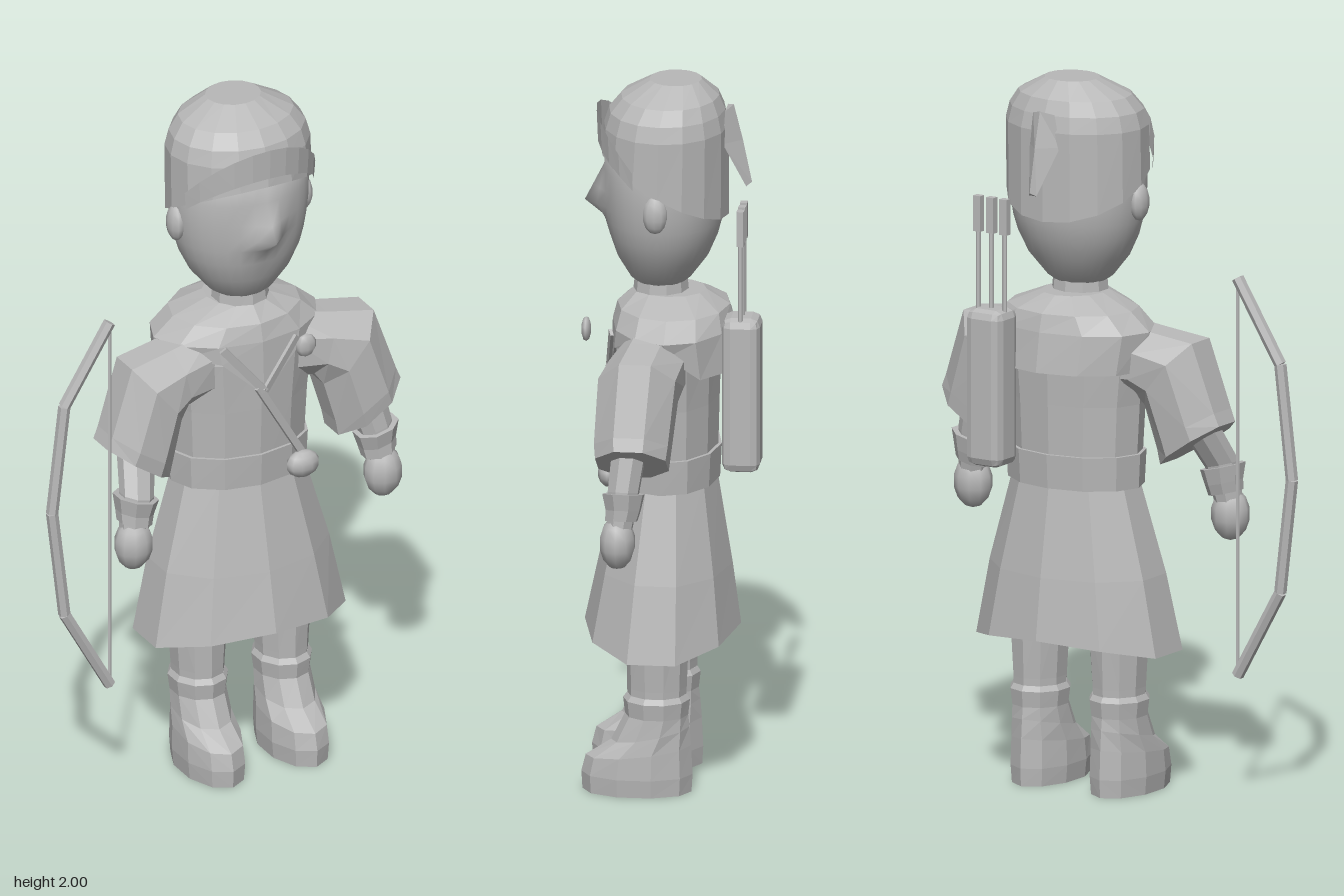
import * as THREE from 'three';
import { RoundedBoxGeometry } from 'three/addons/geometries/RoundedBoxGeometry.js';
import { ParametricGeometry } from 'three/addons/geometries/ParametricGeometry.js';

const V = (x, y, z) => new THREE.Vector3(x, y, z);
const CX = 0.09; // body centre line

// Horizontal ring; lift(dx, dz) bends it up or down
function ring(n, y, rx, rz, cx, cz, lift = () => 0) {
  return Array.from({ length: n }, (_, i) => {
    const a = (i / n) * Math.PI * 2, dx = rx * Math.sin(a), dz = rz * Math.cos(a);
    return V(cx + dx, y + lift(dx, dz), cz + dz);
  });
}

// Limb ring spanning from an upper/outer point to a lower/inner point
function limbRing(n, ax, ay, bx, by, cz, rz) {
  return Array.from({ length: n }, (_, i) => {
    const a = ((i + 0.5) / n) * Math.PI * 2, t = 0.5 - 0.5 * Math.cos(a) / Math.cos(Math.PI / n);
    return V(ax + (bx - ax) * t, ay + (by - ay) * t, cz + rz * Math.sin(a));
  });
}

// Skin a stack of rings, close both ends, and make the faces point outward
function loft(rings, smooth = false) {
  const n = rings[0].length, m = rings.length, pts = rings.flat(), idx = [];
  const mid = (r) => r.reduce((s, p) => s.add(p), V(0, 0, 0)).divideScalar(n);
  pts.push(mid(rings[0]), mid(rings[m - 1]));
  for (let j = 0; j < n; j++) {
    const k = (j + 1) % n;
    for (let i = 0; i < m - 1; i++) {
      const a = i * n + j, b = i * n + k;
      idx.push(a, b, b + n, a, b + n, a + n);
    }
    idx.push(m * n, k, j, m * n + 1, (m - 1) * n + j, (m - 1) * n + k);
  }
  const c = mid(pts.slice(0, n)).add(mid(rings[m - 1])).multiplyScalar(0.5);
  let volume = 0;
  for (let i = 0; i < idx.length; i += 3) {
    const [p, q, r] = [0, 1, 2].map((k) => pts[idx[i + k]].clone().sub(c));
    volume += p.dot(q.cross(r));
  }
  if (volume < 0) idx.reverse();
  const g = new THREE.BufferGeometry().setFromPoints(pts);
  g.setIndex(idx);
  return smooth ? (g.computeVertexNormals(), g) : flat(g);
}

function flat(g) {
  const f = g.index ? g.toNonIndexed() : g;
  f.computeVertexNormals();
  return f;
}

export function createModel() {
  const model = new THREE.Group();
  const grey = new THREE.MeshStandardMaterial({ color: 0xb8b8b8, side: THREE.DoubleSide });
  grey.name = 'plain grey';
  const add = (name, geometry, parent = model) => {
    const mesh = new THREE.Mesh(geometry, grey);
    mesh.name = name;
    parent.add(mesh);
    return mesh;
  };
  const bar = (name, a, b, geometryOf, parent) => {
    const mesh = add(name, geometryOf(a.distanceTo(b)), parent);
    mesh.position.copy(a).add(b).multiplyScalar(0.5);
    mesh.quaternion.setFromUnitVectors(V(0, 1, 0), b.clone().sub(a).normalize());
    return mesh;
  };
  const rod = (name, a, b, r, sides = 6) =>
    bar(name, a, b, (l) => flat(new THREE.CylinderGeometry(r, r, l, sides)));
  const ball = (name, x, y, z, rx, ry, rz, parent = model, w = 10, h = 7) => {
    const mesh = add(name, new THREE.SphereGeometry(1, w, h), parent);
    mesh.position.set(x, y, z);
    mesh.scale.set(rx, ry, rz);
    return mesh;
  };
  const body = (n, rows, smooth) =>
    loft(rows.map(([y, rx, rz, cz, lift]) => ring(n, y, rx, rz, CX, cz, lift)), smooth);

  // Head with a pointed nose pulled out of the face
  const face = body(32, [[1.41, 0.05, 0.05, 0.04], [1.44, 0.095, 0.085, 0.04], [1.5, 0.145, 0.125, 0.035],
    [1.56, 0.174, 0.148, 0.032], [1.605, 0.187, 0.158, 0.03], [1.645, 0.194, 0.163, 0.03],
    [1.69, 0.199, 0.166, 0.03], [1.75, 0.2, 0.167, 0.03], [1.85, 0.19, 0.16, 0.025]], true);
  const p = face.attributes.position;
  for (let i = 0; i < p.count; i++) {
    const dy = p.getY(i) - 1.645, dx = (p.getX(i) - CX) / 0.04;
    if (p.getZ(i) < 0.1) continue;
    const profile = Math.max(0, dy > 0 ? 1 - dy / 0.1 : 1 + dy / 0.05);
    p.setZ(i, p.getZ(i) + 0.057 * profile * Math.exp(-dx * dx));
  }
  face.computeVertexNormals();
  add('head', face);
  add('neck', body(10, [[1.36, 0.085, 0.08, 0.04], [1.46, 0.075, 0.07, 0.04]]));
  for (const s of [-1, 1]) ball('ear', CX + s * 0.197, 1.665, 0.035, 0.025, 0.053, 0.035);

  // Cap, dipping toward the nape
  add('cap', body(16, [[1.71, 0.207, 0.176, 0.03, (x, z) => z * 0.53], [1.87, 0.207, 0.172, 0.025],
    [1.915, 0.195, 0.16, 0.023], [1.955, 0.165, 0.135, 0.015], [2, 0.078, 0.072, 0]]));
  // Turned-up brim across the forehead, tapering at the temples
  add('capBrim', flat(new ParametricGeometry((u, v, t) => {
    const a = (u - 0.5) * 2.4, r = 1.03 + 0.02 * v;
    const z = 0.03 + 0.178 * r * Math.cos(a);
    t.set(CX + 0.207 * r * Math.sin(a), 1.745 + (z - 0.11) * 0.85 + v * (0.03 + 0.055 * Math.cos(a)), z);
  }, 10, 1)));
  // Feather on the back of the cap
  add('feather', loft([
    [V(CX - 0.012, 1.7, -0.195), V(CX, 1.71, -0.21), V(CX + 0.012, 1.7, -0.195)],
    [V(CX - 0.05, 1.83, -0.135), V(CX, 1.83, -0.185), V(CX + 0.05, 1.83, -0.135)],
    [V(CX - 0.035, 1.92, -0.14), V(CX, 1.93, -0.16), V(CX + 0.035, 1.92, -0.14)]]));

  // Torso, belt and skirt
  add('tunic', body(12, [[0.87, 0.195, 0.135, 0.02], [1.1, 0.207, 0.143, 0.022], [1.25, 0.225, 0.148, 0.022],
    [1.32, 0.2, 0.135, 0.022], [1.38, 0.09, 0.09, 0.03]]));
  add('belt', body(12, [[0.865, 0.205, 0.142, 0.02], [0.96, 0.21, 0.147, 0.02]]));
  const hem = (x, z) => 0.045 * Math.cos(2 * Math.atan2(x / 0.3, z / 0.2)) ** 1;
  add('skirt', body(10, [[0.425, 0.31, 0.215, 0.035, (x, z) => hem(x, z) * 0.5],
    [0.62, 0.265, 0.185, 0.028], [0.88, 0.19, 0.135, 0.02]]));
  ball('beltPouch', 0.215, 0.905, 0.17, 0.05, 0.04, 0.03);

  // Shoulder cape: square at the back, pointed at the front
  const capeHem = (x, z) => (z > 0 ? 0.07 - 0.12 * Math.max(0, 1 - Math.abs(x) / 0.13) : 0);
  add('shoulderCape', body(12, [[1.2, 0.235, 0.18, 0, capeHem], [1.31, 0.25, 0.168, 0.005],
    [1.36, 0.19, 0.155, 0.005], [1.4, 0.09, 0.1, 0.015]]));
  // Collar trim and shoulder strap
  const strap = (name, a, b) => bar(name, a, b, (l) => new THREE.BoxGeometry(0.022, l, 0.009));
  const tip = V(CX, 1.165, 0.185);
  strap('collarTrim', V(-0.03, 1.31, 0.165), tip);
  strap('collarTrim', V(0.2, 1.3, 0.165), tip);
  strap('strap', V(0.07, 1.18, 0.182), V(0.22, 0.93, 0.16));
  ball('brooch', 0.19, 1.305, 0.235, 0.032, 0.035, 0.014, model, 8, 5);

  // Arms and legs, mirrored about the body centre
  for (const s of [1, -1]) {
    const side = new THREE.Group();
    side.name = s > 0 ? 'leftLimbs' : 'rightLimbs';
    side.position.x = CX;
    side.scale.x = s;
    model.add(side);
    add('sleeve', loft([[0.1, 1.335, 0.13, 1.12, 0.04, 0.1], [0.24, 1.31, 0.2, 1.13, 0.055, 0.11],
      [0.375, 1.29, 0.22, 1.1, 0.07, 0.115], [0.44, 1.1, 0.253, 0.98, 0.08, 0.11],
      [0.455, 1.065, 0.262, 0.935, 0.08, 0.105]].map((r) => limbRing(8, ...r))), side);
    const fz = s > 0 ? 0.1 : 0.16; // the bow hand reaches further forward
    const arm = (name, rows) => add(name, loft(rows.map(([x, y, r, z]) =>
      limbRing(8, x + r, y + r * 0.25, x - r, y - r * 0.25, z, r))), side);
    arm('forearm', [[0.35, 1.06, 0.05, 0.085], [0.385, 0.93, 0.045, fz], [0.402, 0.82, 0.036, fz + 0.01]]);
    arm('wristCuff', [[0.395, 0.85, 0.046, fz + 0.005], [0.392, 0.88, 0.05, fz], [0.388, 0.925, 0.06, fz]]);
    ball('hand', 0.403, 0.79, fz + 0.015, 0.056, 0.075, 0.05, side);

    const leg = (name, rows) => add(name, loft(rows.map(([y, rx, rz, cz, slope = 0]) =>
      ring(10, y, rx, rz, 0.13, cz, (x, z) => z * slope))), side);
    leg('leg', [[0.2, 0.07, 0.08, 0.037], [0.3, 0.074, 0.082, 0.037], [0.5, 0.088, 0.088, 0.035]]);
    leg('boot', [[0, 0.083, 0.15, 0.092], [0.05, 0.088, 0.153, 0.092], [0.115, 0.086, 0.145, 0.088, -0.12],
      [0.165, 0.08, 0.108, 0.055, -0.2], [0.22, 0.077, 0.087, 0.038], [0.265, 0.083, 0.092, 0.038],
      [0.28, 0.074, 0.082, 0.037]]);
  }

  // Bow and string
  const bow = [[-0.365, 1.465], [-0.505, 1.24], [-0.543, 0.92], [-0.505, 0.6], [-0.365, 0.35]]
    .map(([x, y]) => V(x, y, 0.133));
  for (let i = 0; i < 4; i++) rod('bowLimb', bow[i], bow[i + 1], 0.017);
  rod('bowString', V(-0.365, 1.45, 0.133), V(-0.365, 0.365, 0.133), 0.005, 5);

  // Quiver with three fletched arrows
  const quiver = add('quiver', flat(new RoundedBoxGeometry(0.115, 0.44, 0.105, 1, 0.025)));
  quiver.position.set(0.223, 1.15, -0.198);
  for (const x of [0.18, 0.223, 0.266]) {
    rod('arrowShaft', V(x, 1.3, -0.198), V(x, 1.62, -0.198), 0.007);
    const vane = add('fletching', new THREE.BoxGeometry(0.024, 0.1, 0.02));
    vane.position.set(x, 1.63, -0.198);
  }
  return model;
}
